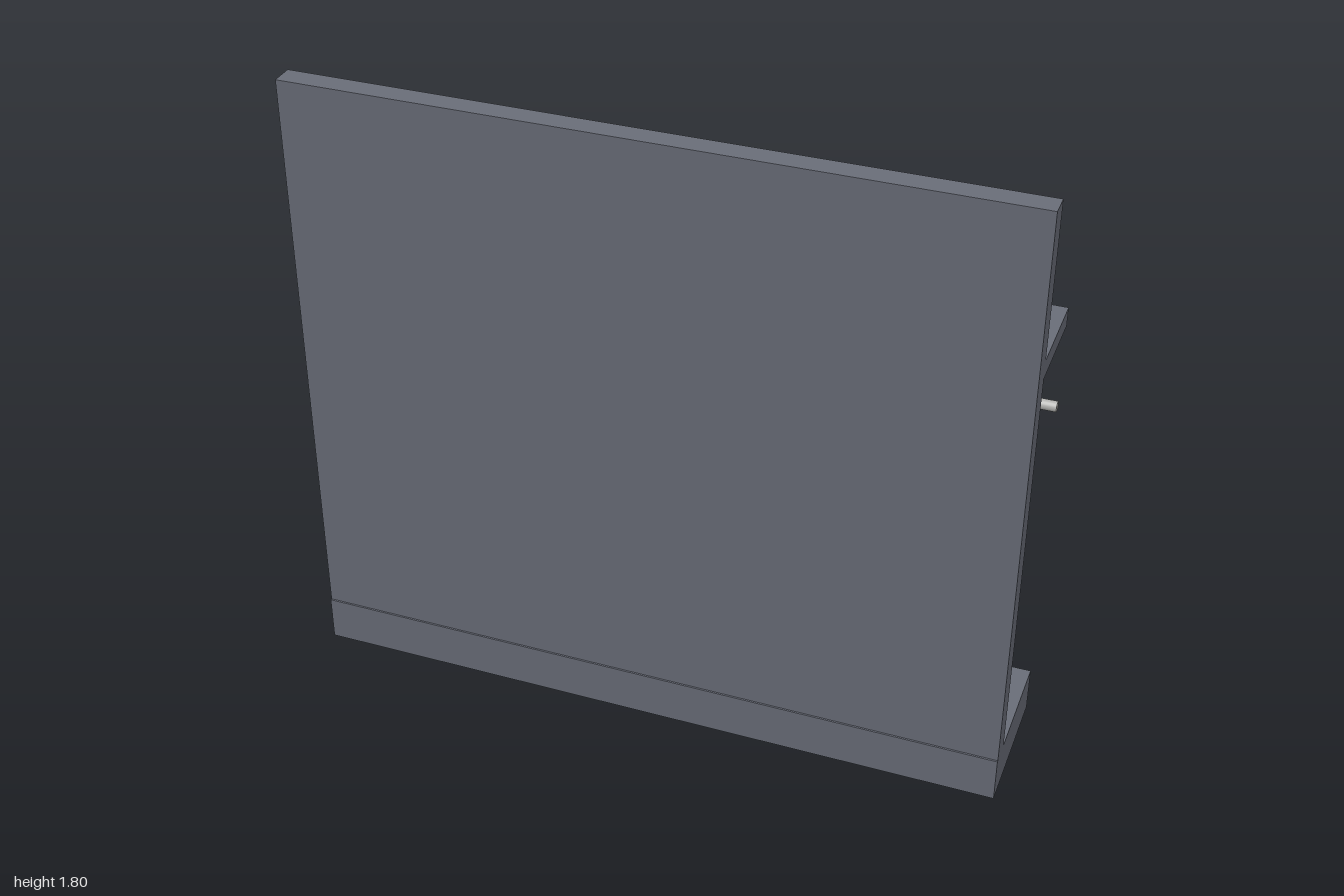
import * as THREE from 'three';

export function createModel() {
  const group = new THREE.Group();
  const material = (name, color) => {
    const m = new THREE.MeshStandardMaterial({ color });
    m.name = name;
    return m;
  };
  const slate = material('slate grey', 0x696d78);
  const black = material('black', 0x0d0d0d);
  const steel = material('light steel', 0xb4b4b2);

  const add = (name, geometry, mat) => {
    const mesh = new THREE.Mesh(geometry, mat);
    mesh.name = name;
    group.add(mesh);
    return mesh;
  };
  // Box given by its centre x and width, then its y and z limits
  const box = (name, mat, x, width, y0, y1, z0, z1) =>
    add(name, new THREE.BoxGeometry(width, y1 - y0, z1 - z0), mat)
      .position.set(x, (y0 + y1) / 2, (z0 + z1) / 2);

  // Stand
  box('base', slate, 0, 2, 0, 0.133, -0.2, 0.2);
  box('frontPanel', slate, 0, 2, 0.133, 1.8, 0.13, 0.195);
  box('shelf', slate, 0, 2, 1.31, 1.363, -0.133, 0.13);

  // Row of upright bars passing through the shelf
  for (let i = 0; i < 8; i++) {
    box('bar' + (i + 1), black, -0.8 + i * 0.2267, 0.067, 0.2, 1.4, -0.107, 0.053);
  }

  // Retaining rod along the back
  const rod = add('rod', new THREE.CylinderGeometry(0.0145, 0.0145, 2, 20), steel);
  rod.rotation.z = Math.PI / 2;
  rod.position.set(0, 1.067, -0.133);

  return group;
}
